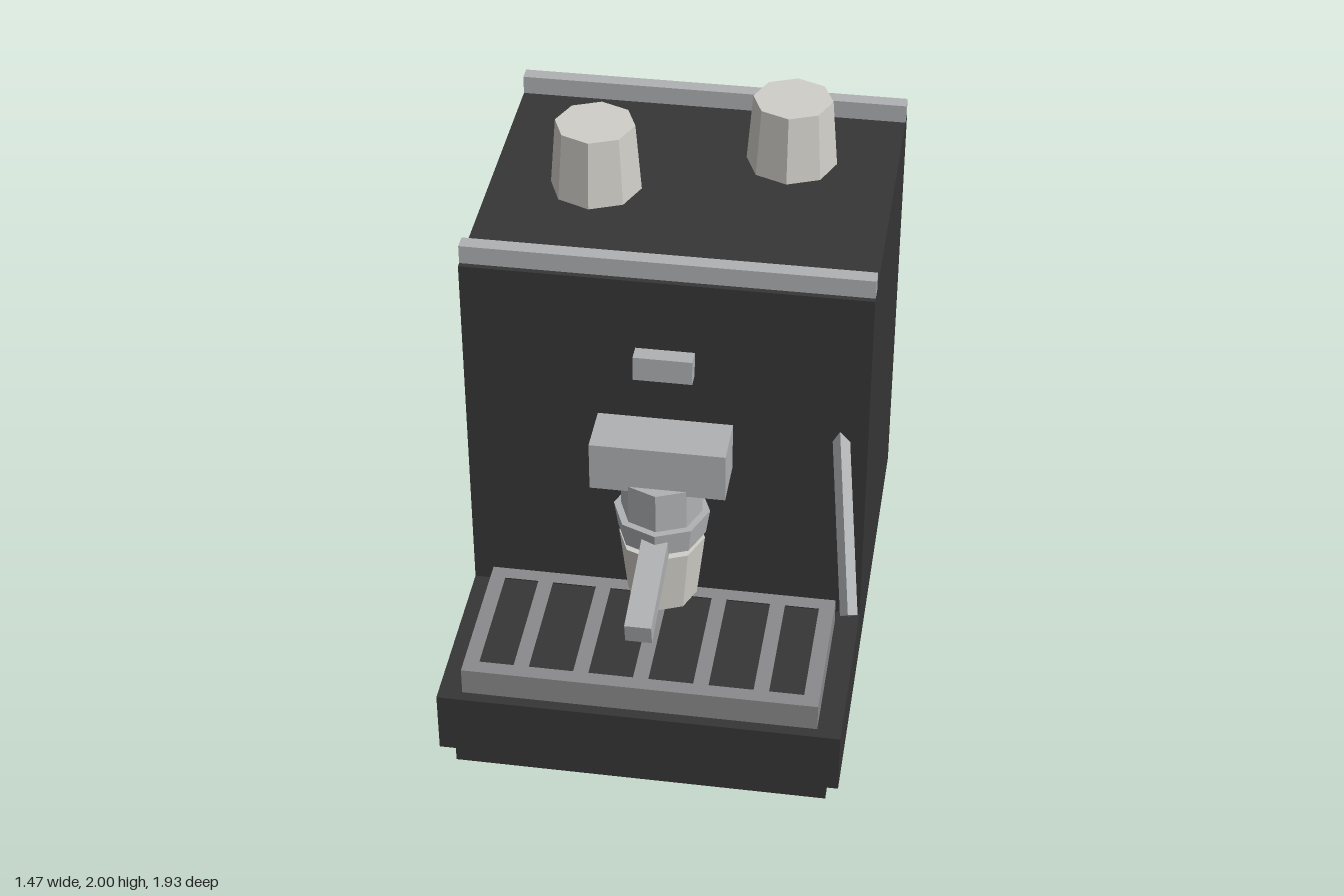
import * as THREE from 'three';

const CX = -0.0125; // middle of the machine body

const mat = (name, color) => {
  const m = new THREE.MeshStandardMaterial({ color, flatShading: true });
  m.name = name;
  return m;
};

export function createModel() {
  const model = new THREE.Group();
  model.name = 'espressoMachine';
  const black = mat('black casing', 0x363636);
  const metal = mat('light metal', 0xafb1b3);
  const grey = mat('grey grate', 0x8a8a8c);
  const china = mat('cream china', 0xd0cec8);

  const add = (name, geometry, material, x = 0, y = 0, z = 0) => {
    const mesh = new THREE.Mesh(geometry, material);
    mesh.name = name;
    mesh.position.set(x, y, z);
    model.add(mesh);
    return mesh;
  };
  // Box from its width and its y and z limits, centred on the body
  const box = (name, material, w, y0, y1, z0, z1) =>
    add(name, new THREE.BoxGeometry(w, y1 - y0, z1 - z0), material, CX, (y0 + y1) / 2, (z0 + z1) / 2);
  // Eight-sided tapered part from its radii and y limits
  const octagon = (name, material, rTop, rBottom, y0, y1, x, z) =>
    add(name, new THREE.CylinderGeometry(rTop, rBottom, y1 - y0, 8), material, x, (y0 + y1) / 2, z);

  // Casing: L-shaped side profile, drawn as (z, y)
  const profile = new THREE.Shape([
    [-0.965, 0.1], [0.965, 0.1], [0.965, 0.34], [0.29, 0.34], [0.29, 1.74], [-0.965, 1.74],
  ].map(([z, y]) => new THREE.Vector2(z, y)));
  const casing = new THREE.ExtrudeGeometry(profile, { depth: 1.445, bevelEnabled: false });
  casing.translate(0, 0, -0.7225).rotateY(-Math.PI / 2);
  add('casing', casing, black, CX);
  box('base', black, 1.35, 0, 0.1, -0.915, 0.92);

  // Rails and cups on the roof
  box('frontRail', metal, 1.445, 1.74, 1.81, 0.215, 0.27);
  box('backRail', metal, 1.445, 1.74, 1.81, -0.945, -0.89);
  octagon('leftRoofCup', china, 0.145, 0.166, 1.74, 2, 0.323, -0.565);
  octagon('rightRoofCup', china, 0.145, 0.166, 1.74, 2, -0.353, -0.297);

  // Switch, brewing head and filter holder
  box('switch', metal, 0.21, 1.365, 1.46, 0.27, 0.35);
  box('brewHead', metal, 0.485, 0.97, 1.16, 0.27, 0.48);
  octagon('headCollar', metal, 0.148, 0.148, 0.83, 0.99, CX, 0.375);
  octagon('filterBasket', metal, 0.175, 0.16, 0.73, 0.83, CX, 0.375);
  const handle = add('filterHandle', new THREE.BoxGeometry(0.095, 0.083, 0.44), metal, CX - 0.003, 0.717, 0.68);
  handle.rotation.x = 0.208;
  octagon('servingCup', china, 0.157, 0.128, 0.445, 0.705, CX, 0.375);

  // Drip grate: a plate with six slots
  const rect = (Type, x0, x1, z0, z1) => new Type([
    new THREE.Vector2(x0, -z0), new THREE.Vector2(x1, -z0),
    new THREE.Vector2(x1, -z1), new THREE.Vector2(x0, -z1),
  ]);
  const plate = rect(THREE.Shape, -0.637, 0.637, 0.35, 0.925);
  const bars = [-0.609, -0.43, -0.215, 0, 0.215, 0.43, 0.609];
  for (let i = 0; i < 6; i++) {
    plate.holes.push(rect(THREE.Path, bars[i] + 0.0275, bars[i + 1] - 0.0275, 0.405, 0.87));
  }
  const grate = new THREE.ExtrudeGeometry(plate, { depth: 0.105, bevelEnabled: false });
  grate.rotateX(-Math.PI / 2);
  add('dripGrate', grate, grey, CX, 0.34);

  // Steam wand: slim four-sided rod leaning out of the front
  const top = new THREE.Vector3(0.612, 1.15, 0.27);
  const tip = new THREE.Vector3(0.702, 0.708, 0.727);
  const dir = top.clone().sub(tip);
  const wand = add('steamWand', new THREE.CylinderGeometry(0.031, 0.031, dir.length(), 4), metal);
  wand.position.copy(top).add(tip).multiplyScalar(0.5);
  wand.quaternion.setFromUnitVectors(new THREE.Vector3(0, 1, 0), dir.normalize());

  return model;
}
